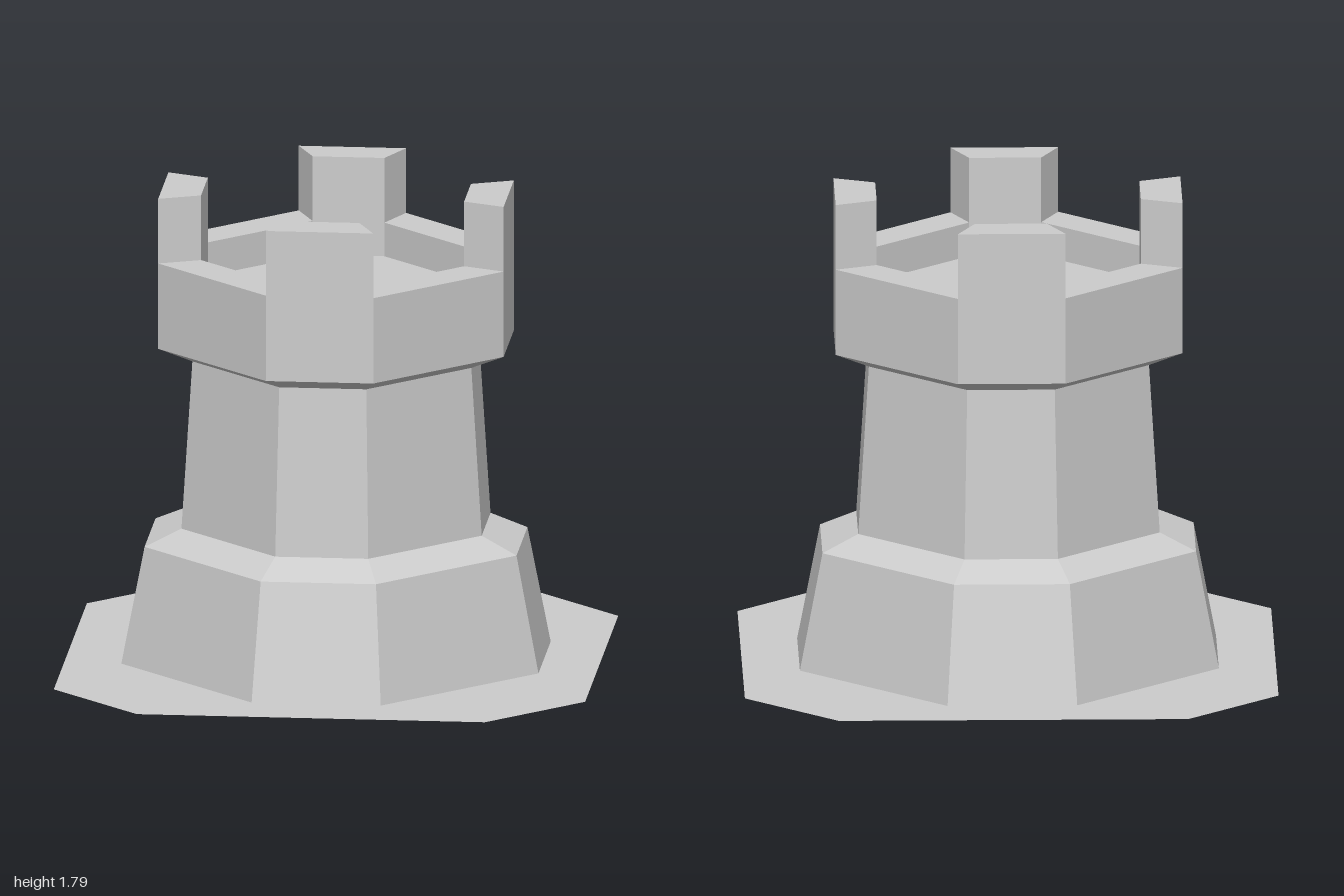
import * as THREE from 'three';

const material = new THREE.MeshStandardMaterial({ color: 0xcccccc, flatShading: true, side: THREE.DoubleSide });

// Eight corners of an octagon: a = centre to straight side, h = half width of that side
const octagon = (a, h) => [[a, h], [h, a], [-h, a], [-a, h], [-a, -h], [-h, -a], [h, -a], [a, -h]];

// Faceted surface through octagonal rings [y, a, h], optionally closed by a flat floor
function loft(name, rings, capped = false) {
  const pos = [];
  const loops = rings.map(([y, a, h]) => octagon(a, h).map(([x, z]) => [x, y, z]));
  for (let r = 0; r < loops.length - 1; r++) {
    for (let i = 0; i < 8; i++) {
      const j = (i + 1) % 8;
      const [p, q, s, t] = [loops[r][i], loops[r + 1][i], loops[r + 1][j], loops[r][j]];
      pos.push(...p, ...q, ...s, ...p, ...s, ...t);
    }
  }
  if (capped) {
    const last = loops[loops.length - 1];
    const centre = [0, last[0][1], 0];
    for (let i = 0; i < 8; i++) pos.push(...centre, ...last[(i + 1) % 8], ...last[i]);
  }
  const geometry = new THREE.BufferGeometry();
  geometry.setAttribute('position', new THREE.Float32BufferAttribute(pos, 3));
  geometry.computeVertexNormals();
  return named(name, geometry);
}

function named(name, geometry) {
  const mesh = new THREE.Mesh(geometry, material);
  mesh.name = name;
  return mesh;
}

const shapeFrom = (points) => new THREE.Shape(points.map(([x, y]) => new THREE.Vector2(x, y)));

export function createModel() {
  const tower = new THREE.Group();
  tower.name = 'tower';

  // Flat ground plate
  const plate = new THREE.ShapeGeometry(shapeFrom(octagon(1, 0.655)));
  plate.rotateX(-Math.PI / 2);
  tower.add(named('groundPlate', plate));

  // Sloped foot with bevelled shoulder, then the tapering shaft
  tower.add(loft('foot', [[0, 0.785, 0.243], [0.447, 0.7, 0.217], [0.51, 0.565, 0.175]]));
  tower.add(loft('shaft', [[0.51, 0.565, 0.175], [1.155, 0.525, 0.164]]));

  // Flared parapet with a rim and sunken floor
  tower.add(loft('parapet', [
    [1.155, 0.525, 0.164], [1.21, 0.65, 0.202], [1.54, 0.65, 0.202],
    [1.54, 0.495, 0.135], [1.41, 0.495, 0.135],
  ], true));

  // Four battlements on the straight sides
  const block = new THREE.ExtrudeGeometry(
    shapeFrom([[-0.202, -0.65], [0.202, -0.65], [0.135, -0.495], [-0.135, -0.495]]),
    { depth: 0.25, bevelEnabled: false },
  );
  block.rotateX(-Math.PI / 2);
  ['front', 'left', 'back', 'right'].forEach((side, i) => {
    const merlon = named(`${side}Battlement`, block);
    merlon.position.y = 1.54;
    merlon.rotation.y = i * Math.PI / 2;
    tower.add(merlon);
  });

  return tower;
}
